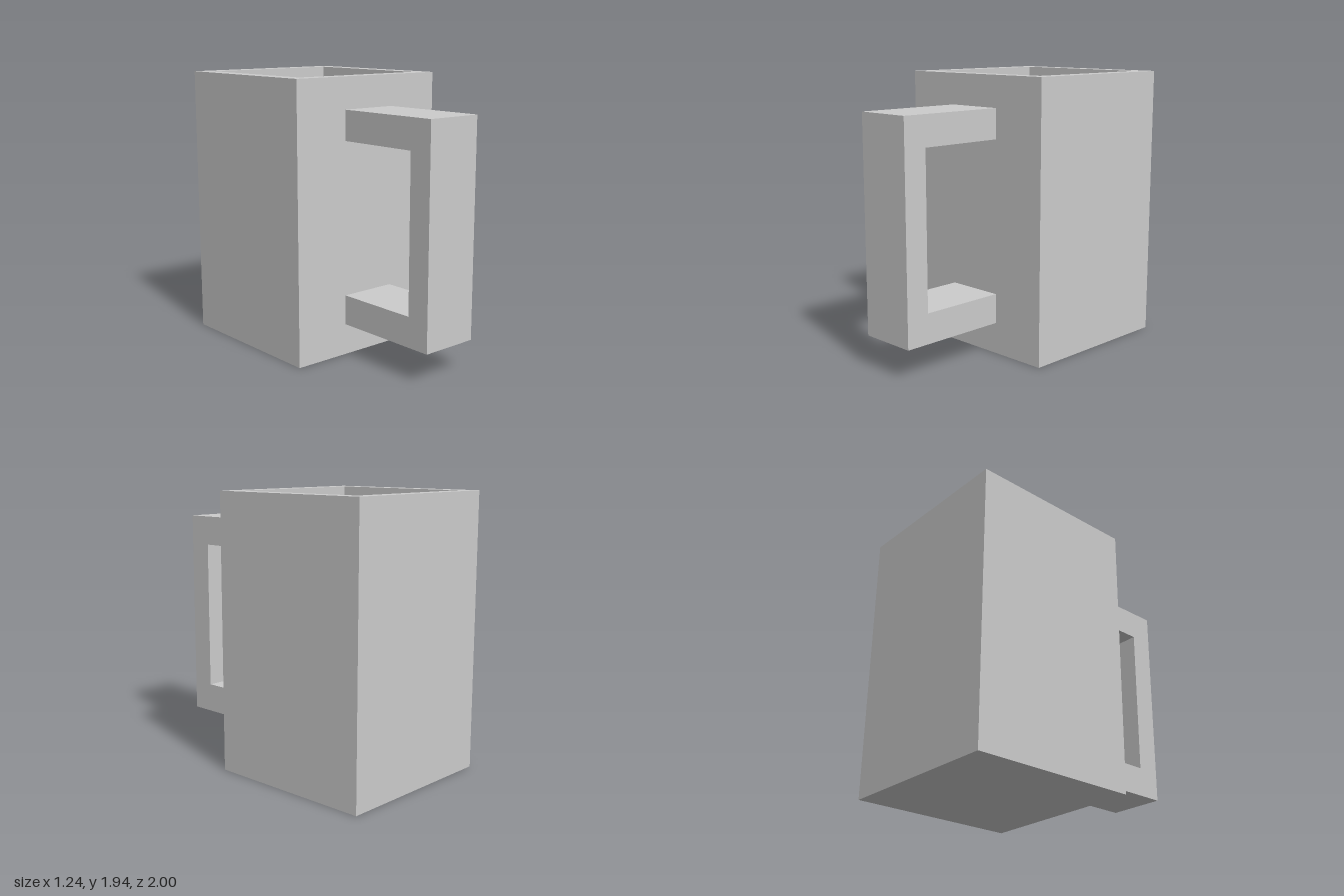
import * as THREE from 'three';

const HEIGHT = 1.94, HALF_X = 0.62, HALF_Z = 0.605, CENTER_Z = -0.395;
const INNER = 0.515, FLOOR = 0.1, FILL = 1.2;

export function createModel() {
  const group = new THREE.Group();
  group.name = 'squareMug';
  const clay = new THREE.MeshStandardMaterial({ color: 0xcccccc, flatShading: true });
  const liquid = new THREE.MeshStandardMaterial({ color: 0x563c0e });

  const add = (name, geometry, material) => {
    const mesh = new THREE.Mesh(geometry, material);
    mesh.name = name;
    group.add(mesh);
    return mesh;
  };

  // Hollow square cup: a four-sided lathe, from under the base over the rim to the inner floor
  const d = Math.SQRT2;
  const profile = [
    [0, 0], [HALF_X * d, 0], [HALF_X * d, HEIGHT],
    [INNER * d, HEIGHT], [INNER * d, FLOOR], [0, FLOOR],
  ].map(([x, y]) => new THREE.Vector2(x, y));
  const cup = new THREE.LatheGeometry(profile, 4, Math.PI / 4);
  cup.scale(1, 1, HALF_Z / HALF_X);
  cup.translate(0, 0, CENTER_Z);
  add('cup', cup, clay);

  // Drink surface inside the cup
  const drink = new THREE.PlaneGeometry(INNER * 2, INNER * 2 * HALF_Z / HALF_X);
  drink.rotateX(-Math.PI / 2);
  drink.translate(0, FILL, CENTER_Z);
  add('drink', drink, liquid);

  // Bracket handle: outline in z and y, extruded across x
  const outline = new THREE.Shape([
    [0.2, 0.22], [1, 0.22], [1, 1.72], [0.2, 1.72],
    [0.2, 1.51], [0.83, 1.51], [0.83, 0.43], [0.2, 0.43],
  ].map(([z, y]) => new THREE.Vector2(z, y)));
  const handle = new THREE.ExtrudeGeometry(outline, { depth: 0.42, bevelEnabled: false });
  handle.translate(0, 0, -0.21);
  handle.rotateY(-Math.PI / 2);
  add('handle', handle, clay);

  return group;
}
